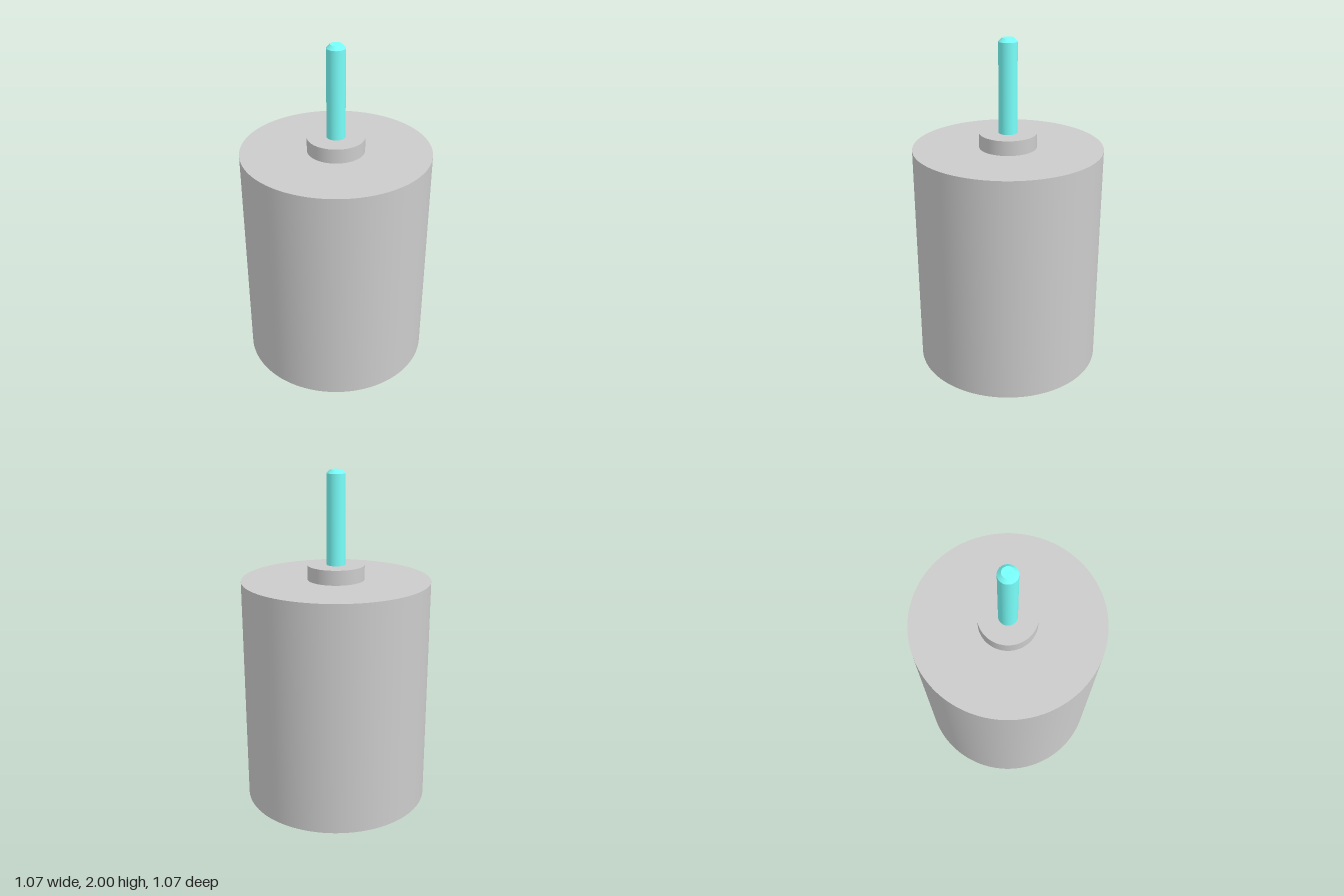
import * as THREE from 'three';

const SEGMENTS = 96;
const grey = new THREE.MeshStandardMaterial({ color: 0xcccccc });
const cyan = new THREE.MeshStandardMaterial({ color: 0x78fffa });

// Upright round part spanning y0..y1, optionally tapering to topRadius
function roundPart(name, material, radius, y0, y1, topRadius = radius, open = false) {
  const geometry = new THREE.CylinderGeometry(topRadius, radius, y1 - y0, SEGMENTS, 1, open);
  geometry.translate(0, (y0 + y1) / 2, 0);
  const mesh = new THREE.Mesh(geometry, material);
  mesh.name = name;
  return mesh;
}

// Flat disc facing up, closing the tip of the shaft
function disc(name, material, radius, y) {
  const geometry = new THREE.CircleGeometry(radius, SEGMENTS);
  geometry.rotateX(-Math.PI / 2);
  geometry.translate(0, y, 0);
  const mesh = new THREE.Mesh(geometry, material);
  mesh.name = name;
  return mesh;
}

export function createModel() {
  const model = new THREE.Group();
  model.name = 'motor';

  // Housing with the front bearing collar on top
  model.add(roundPart('housing', grey, 0.533, 0.087, 1.397));
  model.add(roundPart('frontCollar', grey, 0.161, 1.397, 1.48));

  // Rear bearing boss under the housing
  model.add(roundPart('rearBoss', cyan, 0.161, 0, 0.087));

  // Output shaft with a chamfered tip
  const shaft = new THREE.Group();
  shaft.name = 'shaft';
  shaft.add(roundPart('shaftRod', cyan, 0.052, 1.48, 1.98, 0.052, true));
  shaft.add(roundPart('shaftChamfer', cyan, 0.052, 1.98, 2, 0.032, true));
  shaft.add(disc('shaftTip', cyan, 0.032, 2));
  model.add(shaft);

  return model;
}
